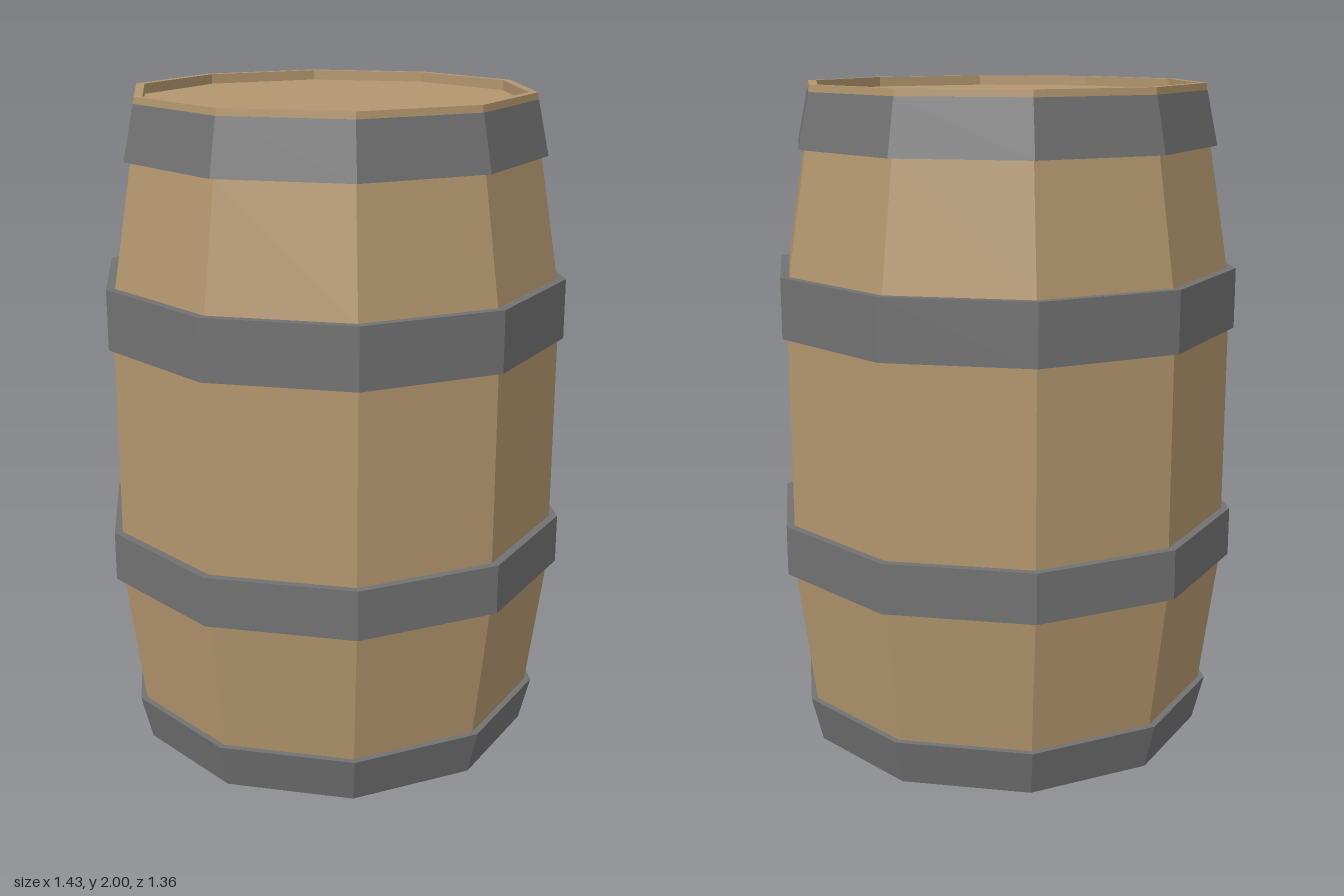
import * as THREE from 'three';

const SIDES = 10;
const wood = new THREE.MeshStandardMaterial({ color: 0xb3966e, flatShading: true });
const iron = new THREE.MeshStandardMaterial({ color: 0x727272, flatShading: true });

// Ten-sided turned part from [radius, height] pairs, with corners on the x axis
function turned(name, profile, material) {
  const points = profile.map(([r, y]) => new THREE.Vector2(r, y));
  const geometry = new THREE.LatheGeometry(points, SIDES, Math.PI / SIDES).toNonIndexed();
  geometry.computeVertexNormals();
  const mesh = new THREE.Mesh(geometry, material);
  mesh.name = name;
  return mesh;
}

export function createModel() {
  const barrel = new THREE.Group();
  barrel.name = 'barrel';

  // Bulging staves with a rim around the slightly sunken lid
  barrel.add(turned('staves', [
    [0.615, 0.02], [0.635, 0.14], [0.69, 0.56], [0.69, 1.4],
    [0.68, 1.46], [0.62, 1.82], [0.603, 2], [0.577, 2], [0.577, 1.97],
  ], wood));
  barrel.add(turned('lid', [[0.577, 1.97], [0, 1.97]], wood));

  // Hoops: lower height, lower radius, upper height, upper radius, inner radii
  const hoops = [
    ['lowerHoop', 0.56, 0.715, 0.71, 0.715, 0.685, 0.685],
    ['upperHoop', 1.28, 0.707, 1.46, 0.707, 0.685, 0.675],
    ['topHoop', 1.82, 0.64, 1.98, 0.606, 0.615, 0.6],
  ];
  for (const [name, y0, r0, y1, r1, in0, in1] of hoops) {
    barrel.add(turned(name, [[in0, y0], [r0, y0], [r1, y1], [in1, y1]], iron));
  }

  // Bottom hoop closes the underside
  barrel.add(turned('bottomHoop', [[0, 0], [0.62, 0], [0.655, 0.14], [0.63, 0.14]], iron));

  return barrel;
}
